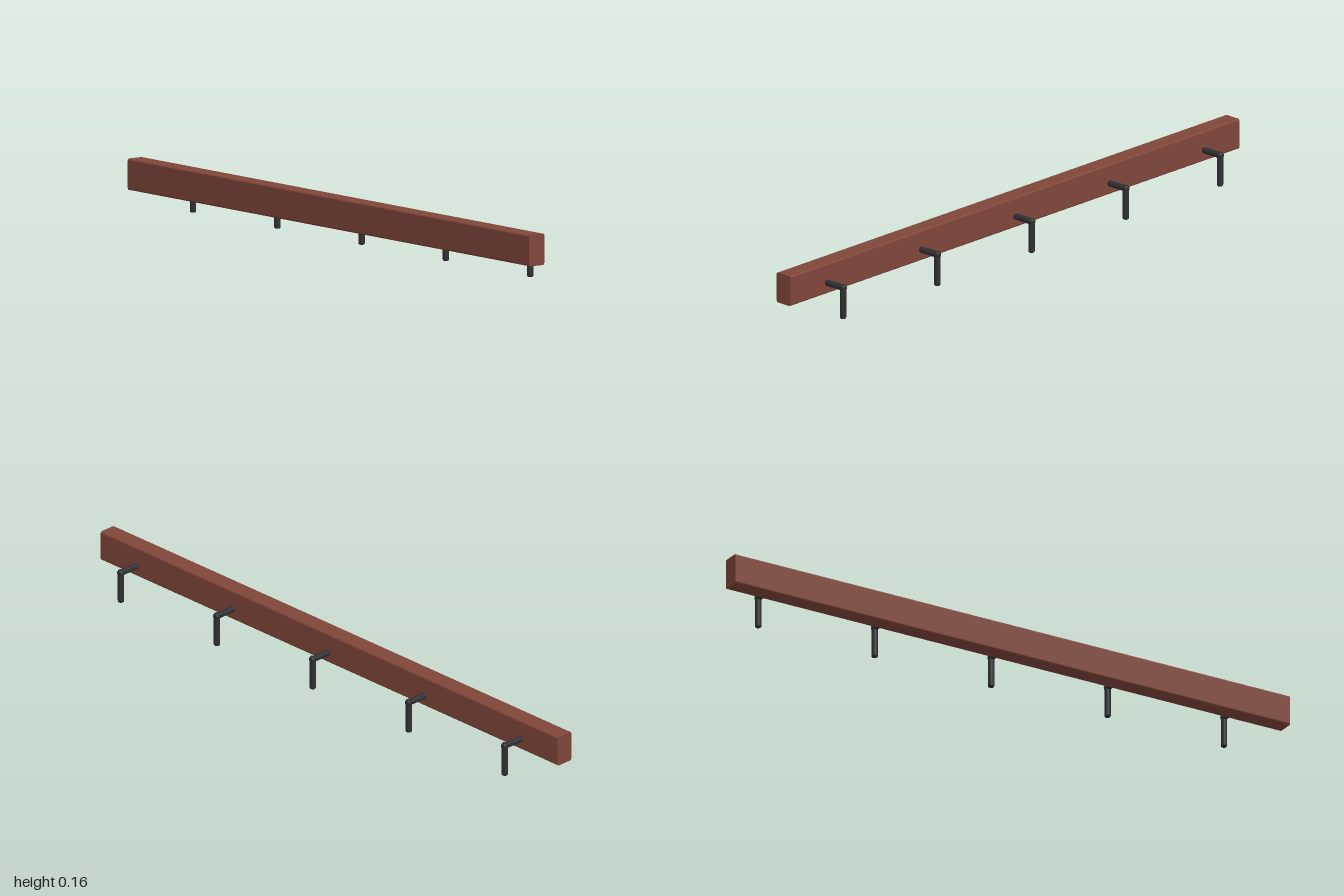
import * as THREE from 'three';

const wood = new THREE.MeshStandardMaterial({ name: 'brownWood', color: 0x80463a });
const metal = new THREE.MeshStandardMaterial({ name: 'darkMetal', color: 0x303034 });

// Rounded rectangle centred on the origin
function roundedRect(w, h, r) {
  const x = w / 2, y = h / 2;
  const s = new THREE.Shape();
  s.moveTo(-x + r, -y);
  s.lineTo(x - r, -y);
  s.absarc(x - r, -y + r, r, -Math.PI / 2, 0);
  s.lineTo(x, y - r);
  s.absarc(x - r, y - r, r, 0, Math.PI / 2);
  s.lineTo(-x + r, y);
  s.absarc(-x + r, y - r, r, Math.PI / 2, Math.PI);
  s.lineTo(-x, -y + r);
  s.absarc(-x + r, -y + r, r, Math.PI, Math.PI * 1.5);
  return s;
}

// Round rod along y, from y = 0 to y = length, with softened ends
function rod(length, radius, soft) {
  const points = [new THREE.Vector2(0, 0)];
  const steps = 4;
  for (let i = 0; i <= steps; i++) {
    const a = (i / steps) * Math.PI / 2;
    points.push(new THREE.Vector2(radius - soft + soft * Math.sin(a), soft - soft * Math.cos(a)));
  }
  for (let i = steps; i >= 0; i--) {
    const a = (i / steps) * Math.PI / 2;
    points.push(new THREE.Vector2(radius - soft + soft * Math.sin(a), length - soft + soft * Math.cos(a)));
  }
  points.push(new THREE.Vector2(0, length));
  return new THREE.LatheGeometry(points, 16);
}

export function createModel() {
  const model = new THREE.Group();
  model.name = 'railWithHooks';

  // Long bar with rounded long edges
  const railGeometry = new THREE.ExtrudeGeometry(roundedRect(0.059, 0.098, 0.006), {
    depth: 2, bevelEnabled: false, curveSegments: 4,
  });
  railGeometry.translate(0, 0, -1).rotateY(Math.PI / 2);
  const rail = new THREE.Mesh(railGeometry, wood);
  rail.name = 'rail';
  rail.position.set(0, 0.112, 0.0405);
  model.add(rail);

  // Five L-shaped hooks along the back
  const armGeometry = rod(0.081, 0.01, 0.005).rotateX(-Math.PI / 2);
  const dropGeometry = rod(0.111, 0.01, 0.005);
  for (let i = -2; i <= 2; i++) {
    const hook = new THREE.Group();
    hook.name = 'hook';
    hook.position.x = i * 0.42;
    const arm = new THREE.Mesh(armGeometry, metal);
    arm.name = 'hookArm';
    arm.position.set(0, 0.101, 0.011);
    const drop = new THREE.Mesh(dropGeometry, metal);
    drop.name = 'hookDrop';
    drop.position.z = -0.06;
    hook.add(arm, drop);
    model.add(hook);
  }
  return model;
}
